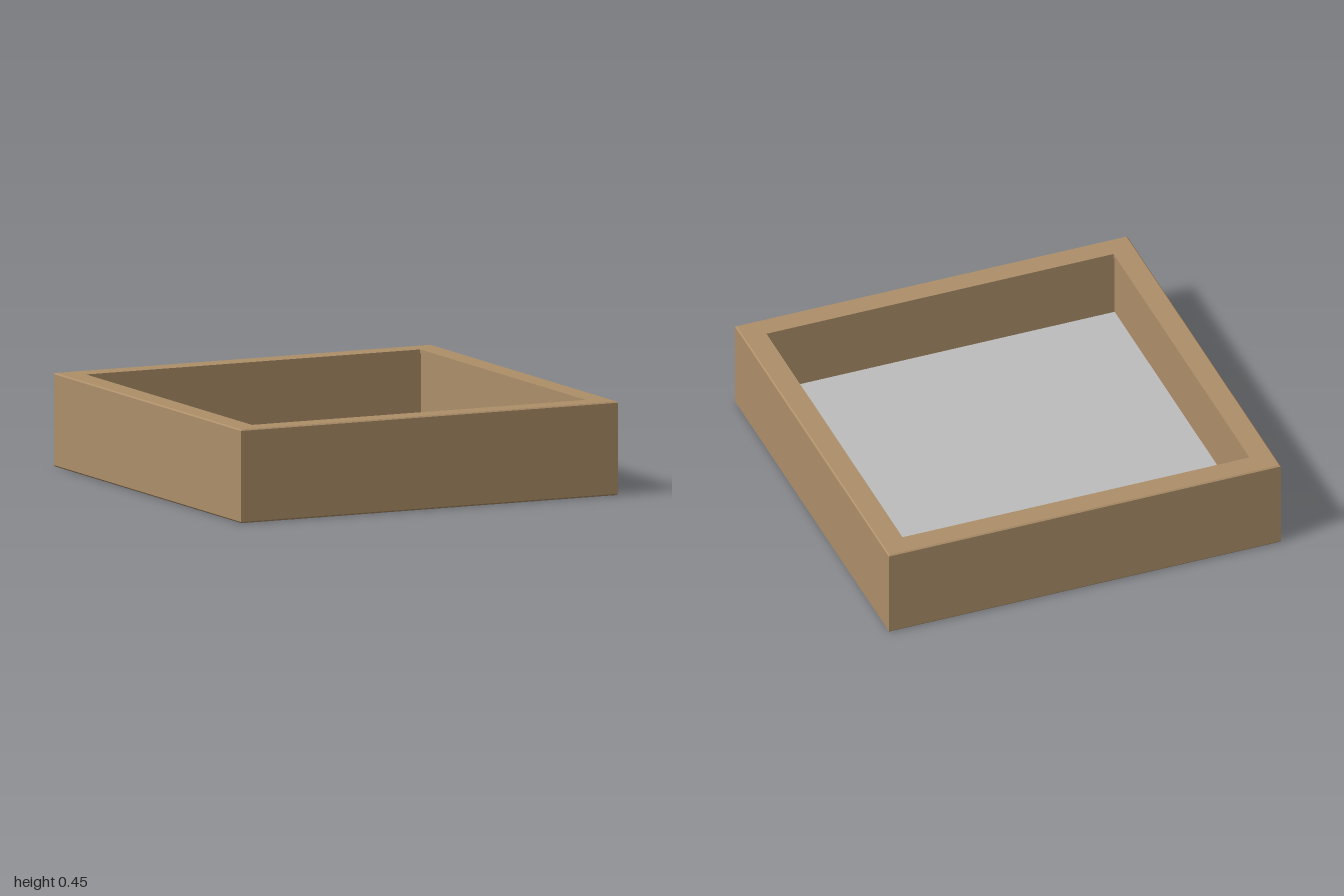
import * as THREE from 'three';

const mat = (name, color) => {
  const m = new THREE.MeshStandardMaterial({ color });
  m.name = name;
  return m;
};

export function createModel() {
  const wood = mat('wood', 0xad8f69);
  const backing = mat('blackBacking', 0x20211c);
  const mount = mat('greyMount', 0xbdbdbd);
  const metal = mat('metal', 0x8a8a88);

  const model = new THREE.Group();
  model.name = 'shadowBoxFrame';

  const add = (name, geometry, material, x = 0, y = 0, z = 0, parent = model) => {
    const mesh = new THREE.Mesh(geometry, material);
    mesh.name = name;
    mesh.position.set(x, y, z);
    parent.add(mesh);
    return mesh;
  };

  // Flat outline in x and z, extruded downwards
  const slab = (points, depth) => {
    const shape = new THREE.Shape(points.map(([x, z]) => new THREE.Vector2(x, z)));
    return new THREE.ExtrudeGeometry(shape, { depth, bevelEnabled: false }).rotateX(Math.PI / 2);
  };

  // Moulding cross-section (half-width, height), swept round a square:
  // chamfered outside, thin front lip, recessed walls and a rabbet behind
  const section = [
    [0.994, 0], [1, 0.007], [1, 0.444], [0.994, 0.45],
    [0.885, 0.45], [0.885, 0.432], [0.895, 0.432], [0.895, 0.09],
    [0.95, 0.09], [0.95, 0], [0.994, 0],
  ].map(([r, y]) => new THREE.Vector2(r * Math.SQRT2, y));
  const moulding = new THREE.LatheGeometry(section, 4, Math.PI / 4).toNonIndexed();
  moulding.computeVertexNormals();
  add('frameMoulding', moulding, wood);

  // Grey mount at the bottom of the box, backing board behind it
  add('mount', new THREE.BoxGeometry(1.79, 0.014, 1.79), mount, 0, 0.095, 0);
  add('backingBoard', new THREE.BoxGeometry(1.9, 0.04, 1.9), backing, 0, 0.07, 0);

  // Folded easel leg lying diagonally, with bare wood edges
  const leg = [[0.11, 0.10], [0.62, -0.88], [0.92, -0.42], [0.31, 0.33]];
  add('easelLeg', slab(leg, 0.02), [backing, wood], 0, 0.05, 0);

  // Hinge across the narrow end of the leg
  const hinge = new THREE.Group();
  hinge.name = 'easelHinge';
  hinge.position.set(0.22, 0.027, 0.2);
  hinge.rotation.y = -Math.atan2(0.23, 0.2);
  model.add(hinge);
  add('hingePlate', new THREE.BoxGeometry(0.26, 0.006, 0.05), backing, 0, 0, 0, hinge);
  for (const x of [-0.09, 0, 0.09]) {
    add('hingeRivet', new THREE.CylinderGeometry(0.012, 0.012, 0.006, 10), backing, x, -0.005, 0, hinge);
  }

  // Sawtooth hanger with a nail plate at each end
  const teeth = [[-0.475, -0.12], [-0.475, 0.14]];
  for (let i = 0; i <= 12; i++) {
    teeth.push([i % 2 ? -0.45 : -0.435, 0.14 - (0.26 * i) / 12]);
  }
  add('sawtoothHanger', slab(teeth, 0.006), metal, 0, 0.048, 0);
  for (const z of [-0.14, 0.16]) {
    add('hangerPlate', new THREE.BoxGeometry(0.06, 0.008, 0.06), metal, -0.455, 0.046, z);
    add('hangerNail', new THREE.CylinderGeometry(0.014, 0.014, 0.006, 12), metal, -0.455, 0.04, z);
  }

  // Retaining tabs in the middle of each side
  for (let i = 0; i < 4; i++) {
    const a = (i * Math.PI) / 2;
    const tab = add('retainingTab', new THREE.BoxGeometry(0.04, 0.006, 0.06), backing,
      Math.sin(a) * 0.93, 0.044, Math.cos(a) * 0.93);
    tab.rotation.y = a;
  }

  return model;
}
